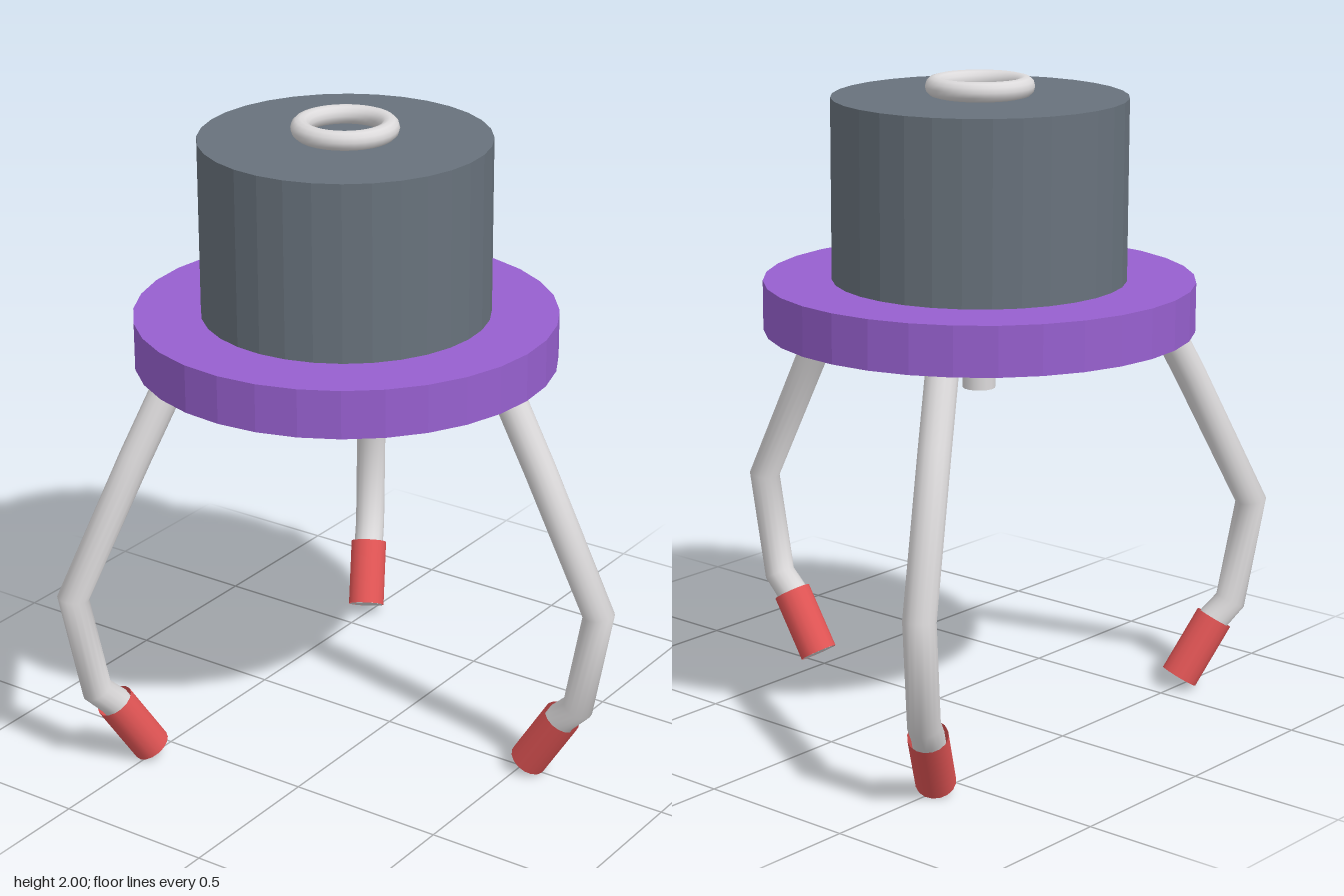
import * as THREE from 'three';

const mat = (name, color, side = THREE.FrontSide, flatShading = false) => {
  const m = new THREE.MeshStandardMaterial({ color, side, flatShading });
  m.name = name;
  return m;
};

// Straight-segment path with mitred tangents at its bends
class BentPath extends THREE.Curve {
  constructor(points) {
    super();
    this.points = points;
  }
  getUtoTmapping(u) {
    return u;
  }
  getPoint(t, target = new THREE.Vector3()) {
    const f = t * (this.points.length - 1);
    const i = Math.min(Math.floor(f + 1e-6), this.points.length - 2);
    return target.lerpVectors(this.points[i], this.points[i + 1], f - i);
  }
  getTangent(t, target = new THREE.Vector3()) {
    const p = this.points, last = p.length - 1;
    const i = Math.round(t * last);
    target.set(0, 0, 0);
    if (i > 0) target.add(p[i].clone().sub(p[i - 1]).normalize());
    if (i < last) target.add(p[i + 1].clone().sub(p[i]).normalize());
    return target.normalize();
  }
}

export function createModel() {
  const purple = mat('purple', 0x9760cf, THREE.FrontSide, true);
  const slate = mat('slate', 0x68727c, THREE.FrontSide, true);
  const metal = mat('lightMetal', 0xdcdadb);
  const red = mat('redRubber', 0xe25555, THREE.DoubleSide);

  const model = new THREE.Group();
  model.name = 'clawGrabber';
  const claw = new THREE.Group();
  claw.name = 'claw';
  claw.position.x = -0.16;
  model.add(claw);

  const add = (parent, name, geometry, material) => {
    const mesh = new THREE.Mesh(geometry, material);
    mesh.name = name;
    parent.add(mesh);
    return mesh;
  };
  const disc = (name, radius, bottom, top, segments, material) => {
    const g = new THREE.CylinderGeometry(radius, radius, top - bottom, segments);
    add(claw, name, g, material).position.y = (top + bottom) / 2;
  };

  // Central stack
  disc('motorHousing', 0.445, 1.39, 1.94, 32, slate);
  disc('basePlate', 0.652, 1.24, 1.39, 32, purple);
  disc('hub', 0.177, 1.16, 1.24, 32, purple);
  disc('plungerPin', 0.05, 1.05, 1.16, 16, metal);

  // Hanging ring lying on the housing
  const ring = add(claw, 'topRing', new THREE.TorusGeometry(0.134, 0.03, 12, 32), metal);
  ring.rotation.x = Math.PI / 2;
  ring.position.y = 1.97;

  // Three bent fingers with rubber sleeves
  const v = (r, y) => new THREE.Vector3(r, y, 0);
  const tip = v(0.685, 0.037), sleeveTop = v(0.802, 0.222);
  const path = new BentPath([
    v(0.56, 1.29), v(0.59, 1.24), v(0.703, 1.03), v(0.92, 0.605), v(0.857, 0.275), sleeveTop, tip,
  ]);
  const down = tip.clone().sub(sleeveTop);
  const length = down.length();
  down.normalize();

  for (let i = 0; i < 3; i++) {
    const finger = new THREE.Group();
    finger.name = 'finger' + (i + 1);
    finger.rotation.y = (i * Math.PI * 2) / 3;
    claw.add(finger);

    add(finger, 'fingerRod', new THREE.TubeGeometry(path, 6, 0.049, 16), metal);

    const sleeve = add(finger, 'fingerSleeve',
      new THREE.CylinderGeometry(0.06, 0.06, length, 16, 1, true), red);
    sleeve.position.copy(tip).add(sleeveTop).multiplyScalar(0.5);
    sleeve.quaternion.setFromUnitVectors(new THREE.Vector3(0, -1, 0), down);

    // Rod end showing at the open sleeve
    const end = add(finger, 'rodEnd', new THREE.CircleGeometry(0.057, 16), metal);
    end.position.copy(tip);
    end.quaternion.setFromUnitVectors(new THREE.Vector3(0, 0, 1), down);
  }
  return model;
}
